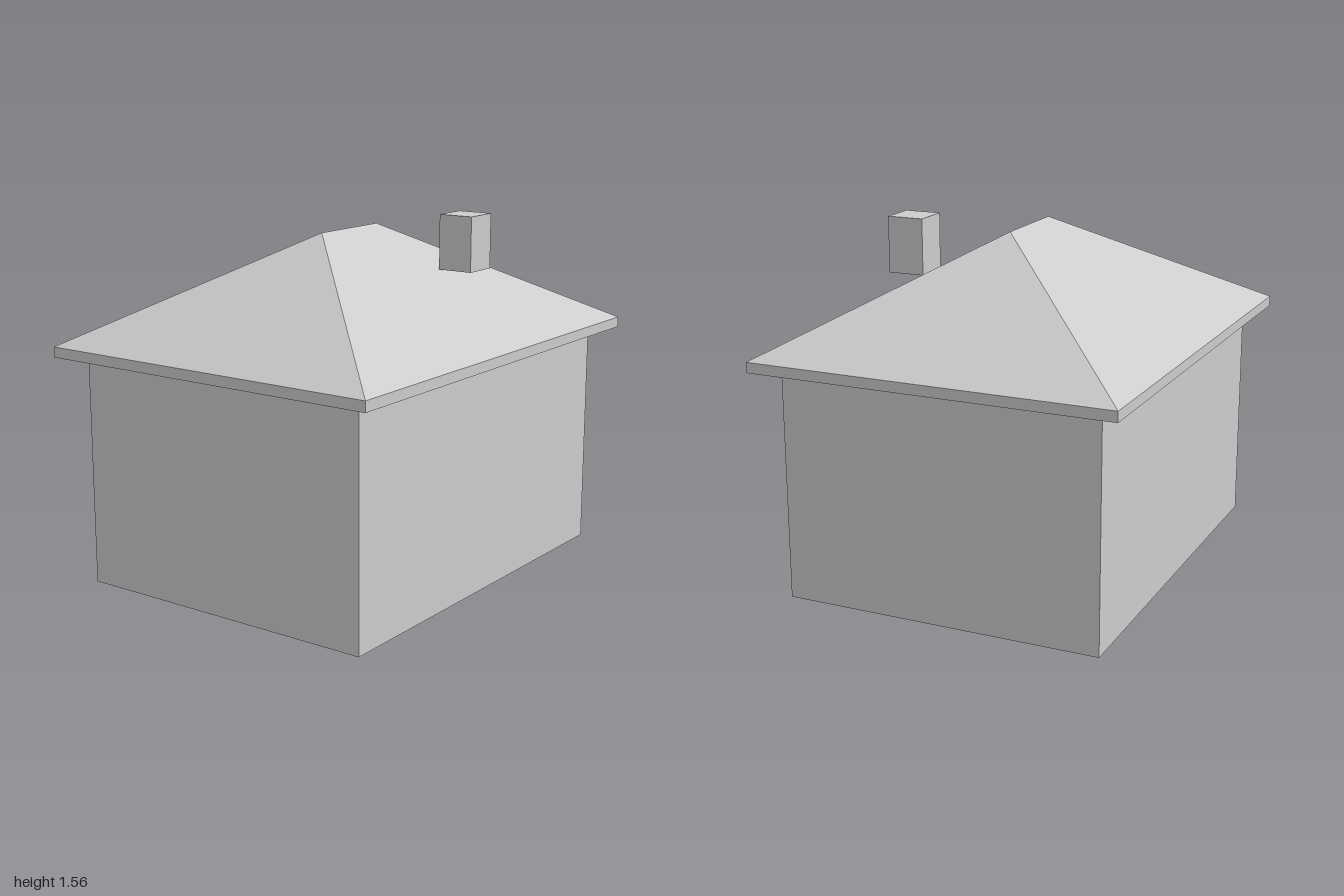
import * as THREE from 'three';

// Flat-faced geometry from a list of planar polygons (each fanned into triangles)
function fromFaces(faces) {
  const pos = [];
  for (const f of faces) {
    for (let i = 1; i < f.length - 1; i++) pos.push(...f[0], ...f[i], ...f[i + 1]);
  }
  const g = new THREE.BufferGeometry();
  g.setAttribute('position', new THREE.Float32BufferAttribute(pos, 3));
  g.computeVertexNormals();
  return g;
}

// Corners of a rectangle at height y, running anticlockwise seen from above
const ring = (x, z, y) => [[-x, y, z], [x, y, z], [x, y, -z], [-x, y, -z]];

// Open vertical band between two heights
function band(x, z, y0, y1) {
  const lo = ring(x, z, y0), hi = ring(x, z, y1);
  return fromFaces(lo.map((p, i) => {
    const j = (i + 1) % 4;
    return [p, lo[j], hi[j], hi[i]];
  }));
}

export function createModel() {
  const house = new THREE.Group();
  house.name = 'house';
  const grey = new THREE.MeshStandardMaterial({ color: 0xcccccc, side: THREE.DoubleSide });
  grey.name = 'plain grey';

  const add = (name, geometry, x = 0, y = 0, z = 0) => {
    const mesh = new THREE.Mesh(geometry, grey);
    mesh.name = name;
    mesh.position.set(x, y, z);
    house.add(mesh);
  };

  // Walls: open below, reaching up to the underside of the roof
  add('walls', band(0.7, 0.9, 0, 1.1));

  // Eaves: thin upright band around the roof edge
  add('eaves', band(0.8, 1, 1, 1.045));

  // Hipped roof: two trapezoids and two triangles around a short ridge
  const [fl, fr, br, bl] = ring(0.8, 1, 1.045);
  const ridgeFront = [0, 1.5, 0.2], ridgeBack = [0, 1.5, -0.2];
  add('roof', fromFaces([
    [fl, fr, ridgeFront],
    [fr, br, ridgeBack, ridgeFront],
    [br, bl, ridgeBack],
    [bl, fl, ridgeFront, ridgeBack],
  ]));

  // Chimney
  add('chimney', new THREE.BoxGeometry(0.16, 0.24, 0.16), 0.4, 1.44, -0.3);

  // Window boxes set against the inside of the front and side walls
  for (const s of [-1, 1]) {
    add('frontWindow', new THREE.BoxGeometry(0.22, 0.44, 0.065), s * 0.375, 0.71, 0.865);
    add('sideWindow', new THREE.BoxGeometry(0.05, 0.26, 0.2), s * 0.672, 0.8, 0);
  }

  return house;
}
